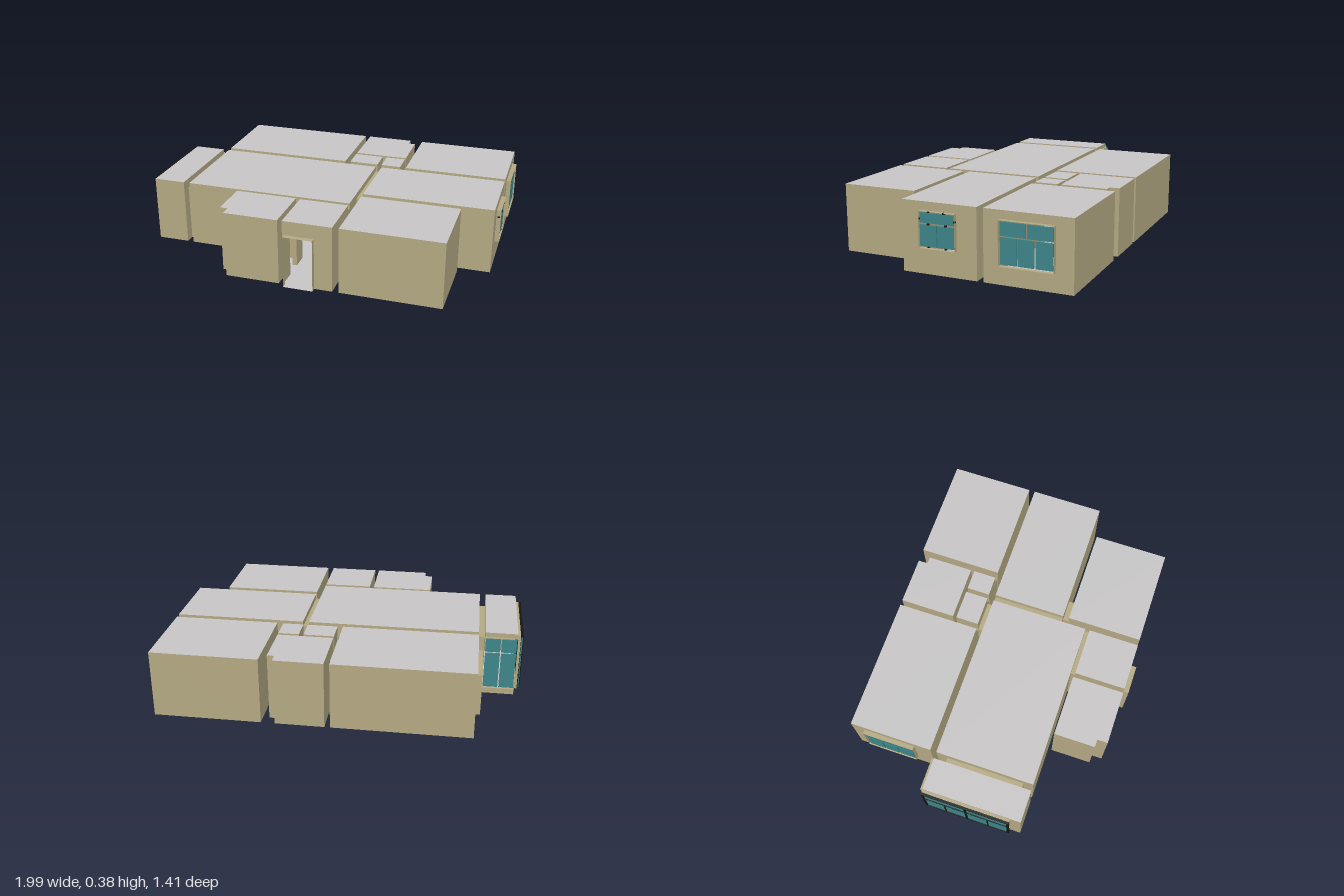
import * as THREE from 'three';
import { mergeGeometries } from 'three/addons/utils/BufferGeometryUtils.js';

const H = 0.375;   // storey height
const mat = (name, hex, side = THREE.FrontSide) => {
  const m = new THREE.MeshStandardMaterial({ color: hex, side });
  m.name = name;
  return m;
};

// Quad from four corners
function quad(a, b, c, d) {
  const g = new THREE.BufferGeometry();
  g.setAttribute('position', new THREE.Float32BufferAttribute([...a, ...b, ...c, ...d], 3));
  g.setIndex([0, 1, 2, 0, 2, 3]);
  g.computeVertexNormals();
  return g;
}
const upright = (x0, z0, x1, z1, y0, y1) =>
  quad([x0, y0, z0], [x1, y0, z1], [x1, y1, z1], [x0, y1, z0]);

// Horizontal slab face over a plan outline
function level(outline, y) {
  const g = new THREE.ShapeGeometry(new THREE.Shape(outline.map(([x, z]) => new THREE.Vector2(x, -z))));
  return g.rotateX(-Math.PI / 2).translate(0, y, 0);
}
const rect = (x0, x1, z0, z1) => [[x0, z0], [x0, z1], [x1, z1], [x1, z0]];

// Rooms as plan outlines (x, z)
const rooms = {
  backRightBedroom: rect(-0.755, 0, -0.705, -0.235),
  backBathroom: [[0.03, -0.705], [0.03, -0.39], [0.34, -0.39], [0.34, -0.65], [0.3, -0.65], [0.3, -0.705]],
  corridor: rect(0.03, 0.2, -0.37, -0.238),
  corridorEnd: rect(0.225, 0.34, -0.37, -0.238),
  backLeftBedroom: rect(0.375, 0.965, -0.705, -0.235),
  livingRoom: rect(-0.755, 0.2, -0.2, 0.36),
  diningRoom: rect(0.235, 0.965, -0.2, 0.215),
  balcony: rect(-0.97, -0.79, -0.2, 0.36),
  frontBathroom: [[-0.45, 0.38], [-0.45, 0.615], [-0.405, 0.615], [-0.405, 0.675], [-0.1, 0.675], [-0.1, 0.38]],
  entranceHall: rect(-0.075, 0.2, 0.385, 0.675),
  kitchen: rect(0.235, 0.79, 0.25, 0.675),
};

// Open passages through walls: direction, x range, z range, y range
const passages = [
  ['bathroomDoorway', 'x', 0, 0.03, -0.51, -0.392, 0, 0.295],
  ['bedroomDoorway', 'x', 0, 0.03, -0.365, -0.24, 0, 0.295],
  ['corridorLink', 'x', 0.2, 0.225, -0.36, -0.24, 0, 0.295],
  ['leftBedroomDoorway', 'x', 0.34, 0.375, -0.37, -0.24, 0, 0.295],
  ['corridorOpening', 'z', 0.03, 0.2, -0.238, -0.2, 0, 0.295],
  ['diningOpening', 'x', 0.2, 0.235, -0.2, 0.215, 0, 0.345],
  ['balconyDoorway', 'x', -0.79, -0.755, -0.14, 0.305, 0, 0.32],
  ['hallOpening', 'z', -0.075, 0.2, 0.36, 0.385, 0, 0.345],
  ['frontBathroomDoorway', 'x', -0.1, -0.075, 0.455, 0.56, 0, 0.295],
  ['kitchenDoorway', 'z', 0.245, 0.37, 0.215, 0.25, 0, 0.295],
  ['frontDoorway', 'z', -0.065, 0.1, 0.675, 0.705, 0, 0.295],
  ['rightWindowReveal', 'x', -0.78, -0.755, -0.63, -0.335, 0.1, 0.33],
  ['leftWindowReveal', 'x', 0.965, 0.99, -0.612, -0.325, 0.1, 0.33],
  ['diningWindowReveal', 'x', 0.965, 0.99, -0.09, 0.11, 0.14, 0.33],
  ['balconySideReveal', 'x', -0.985, -0.97, -0.2, 0.3, 0.04, 0.362],
  ['balconyBackReveal', 'z', -0.97, -0.79, -0.215, -0.2, 0.04, 0.35],
];

// Wall pieces along one outline edge, leaving out the passages that meet it
function wallPieces([ax, az], [bx, bz]) {
  const dir = ax === bx ? 'x' : 'z';
  const at = dir === 'x' ? ax : az;
  const [s, e] = (dir === 'x' ? [az, bz] : [ax, bx]).sort((p, q) => p - q);
  const holes = [];
  for (const [, d, x0, x1, z0, z1, y0, y1] of passages) {
    const [n0, n1, t0, t1] = d === 'x' ? [x0, x1, z0, z1] : [z0, z1, x0, x1];
    const touches = d === dir && (Math.abs(n0 - at) < 0.004 || Math.abs(n1 - at) < 0.004);
    if (touches && t1 > s && t0 < e) holes.push([Math.max(s, t0), Math.min(e, t1), y0, y1]);
  }
  holes.sort((p, q) => p[0] - q[0]);
  const out = [];
  const add = (u, v, y0, y1) => {
    if (v - u < 1e-4 || y1 - y0 < 1e-4) return;
    out.push(dir === 'x' ? upright(at, u, at, v, y0, y1) : upright(u, at, v, at, y0, y1));
  };
  let from = s;
  for (const [u, v, y0, y1] of holes) {
    add(from, u, 0, H);
    add(u, v, 0, y0);
    add(u, v, y1, H);
    from = v;
  }
  add(from, e, 0, H);
  return out;
}

export function createModel() {
  const model = new THREE.Group();
  model.name = 'apartment';
  const wallMat = mat('wall tan', 0xb5aa84, THREE.DoubleSide);
  const slabMat = mat('slab grey', 0xc8c6c6, THREE.DoubleSide);
  const glassMat = mat('glass teal', 0x3d868a);
  const frameMat = mat('frame black', 0x141616);
  const put = (name, parts, material) => {
    const mesh = new THREE.Mesh(mergeGeometries(parts), material);
    mesh.name = name;
    model.add(mesh);
  };

  // Rooms: walls, floor and ceiling
  for (const [name, outline] of Object.entries(rooms)) {
    const walls = outline.flatMap((p, i) => wallPieces(p, outline[(i + 1) % outline.length]));
    put(name + 'Walls', walls, wallMat);
    put(name + 'Slabs', [level(outline, 0), level(outline, H)], slabMat);
  }

  // Passages: two sides and a head, with a grey floor or a tan sill
  for (const [name, d, x0, x1, z0, z1, y0, y1] of passages) {
    const sides = d === 'x'
      ? [upright(x0, z0, x1, z0, y0, y1), upright(x0, z1, x1, z1, y0, y1)]
      : [upright(x0, z0, x0, z1, y0, y1), upright(x1, z0, x1, z1, y0, y1)];
    const plan = rect(x0, x1, z0, z1);
    const tan = [...sides, level(plan, y1)].map((g) => { g.deleteAttribute('uv'); return g; });
    if (y0 > 0) {
      const sill = level(plan, y0);
      sill.deleteAttribute('uv');
      tan.push(sill);
    } else put(name + 'Floor', [level(plan, 0)], slabMat);
    put(name, tan, wallMat);
  }

  // Flat plates or bars standing in a wall plane: [start, end, bottom, top]
  const plates = (name, dir, at, thick, list, material) => put(name, list.map(([a, b, y0, y1]) => {
    const g = dir === 'x' ? new THREE.BoxGeometry(thick, y1 - y0, b - a) : new THREE.BoxGeometry(b - a, y1 - y0, thick);
    return dir === 'x' ? g.translate(at, (y0 + y1) / 2, (a + b) / 2) : g.translate((a + b) / 2, (y0 + y1) / 2, at);
  }), material);

  // Bedroom windows: two panes over three
  const bedroomPanes = (z) => [
    [z + 0.005, z + 0.14, 0.252, 0.322], [z + 0.147, z + 0.282, 0.252, 0.322],
    [z + 0.007, z + 0.095, 0.11, 0.245], [z + 0.104, z + 0.185, 0.11, 0.245], [z + 0.192, z + 0.28, 0.11, 0.245],
  ];
  plates('leftBedroomPanes', 'x', 0.978, 0.009, bedroomPanes(-0.612), glassMat);
  plates('rightBedroomPanes', 'x', -0.77, 0.009, bedroomPanes(-0.626), glassMat);

  // Dining window: one pane over two, with small black catches
  plates('diningPanes', 'x', 0.978, 0.009,
    [[-0.085, 0.106, 0.27, 0.322], [0.013, 0.106, 0.15, 0.26], [-0.085, 0.008, 0.15, 0.26]], glassMat);
  const catches = [[0.06, 0.264], [-0.037, 0.264], [0.06, 0.147], [-0.037, 0.147], [-0.027, 0.326], [0.06, 0.326], [0.107, 0.29], [-0.087, 0.29]];
  plates('diningCatches', 'x', 0.978, 0.012,
    catches.map(([z, y]) => [z - 0.005, z + 0.005, y - 0.004, y + 0.004]), frameMat);

  // Balcony side glazing: two wide panes over four tall ones in a black frame
  const bar = 0.006, z0 = -0.2, z1 = 0.3, q = (z1 - z0) / 4;
  plates('balconySideGlass', 'x', -0.991, 0.008, [[z0, z1, 0.048, 0.358]], glassMat);
  const frame = [[z0, z1, 0.045, 0.057], [z0, z1, 0.35, 0.362], [z0, z1, 0.247, 0.257],
    [z0, z0 + 0.012, 0.045, 0.362], [z1 - 0.012, z1, 0.045, 0.362], [0.05 - bar, 0.05 + bar, 0.045, 0.362]];
  for (const i of [1, 3]) frame.push([z0 + q * i - bar / 2, z0 + q * i + bar / 2, 0.05, 0.25]);
  plates('balconySideFrame', 'x', -0.993, 0.014, frame, frameMat);

  // Balcony back glazing: two small panes over two tall ones
  const backPanes = [];
  for (const x of [-0.965, -0.877]) backPanes.push([x, x + 0.082, 0.265, 0.343], [x, x + 0.082, 0.048, 0.257]);
  plates('balconyBackPanes', 'z', -0.21, 0.008, backPanes, glassMat);

  return model;
}
